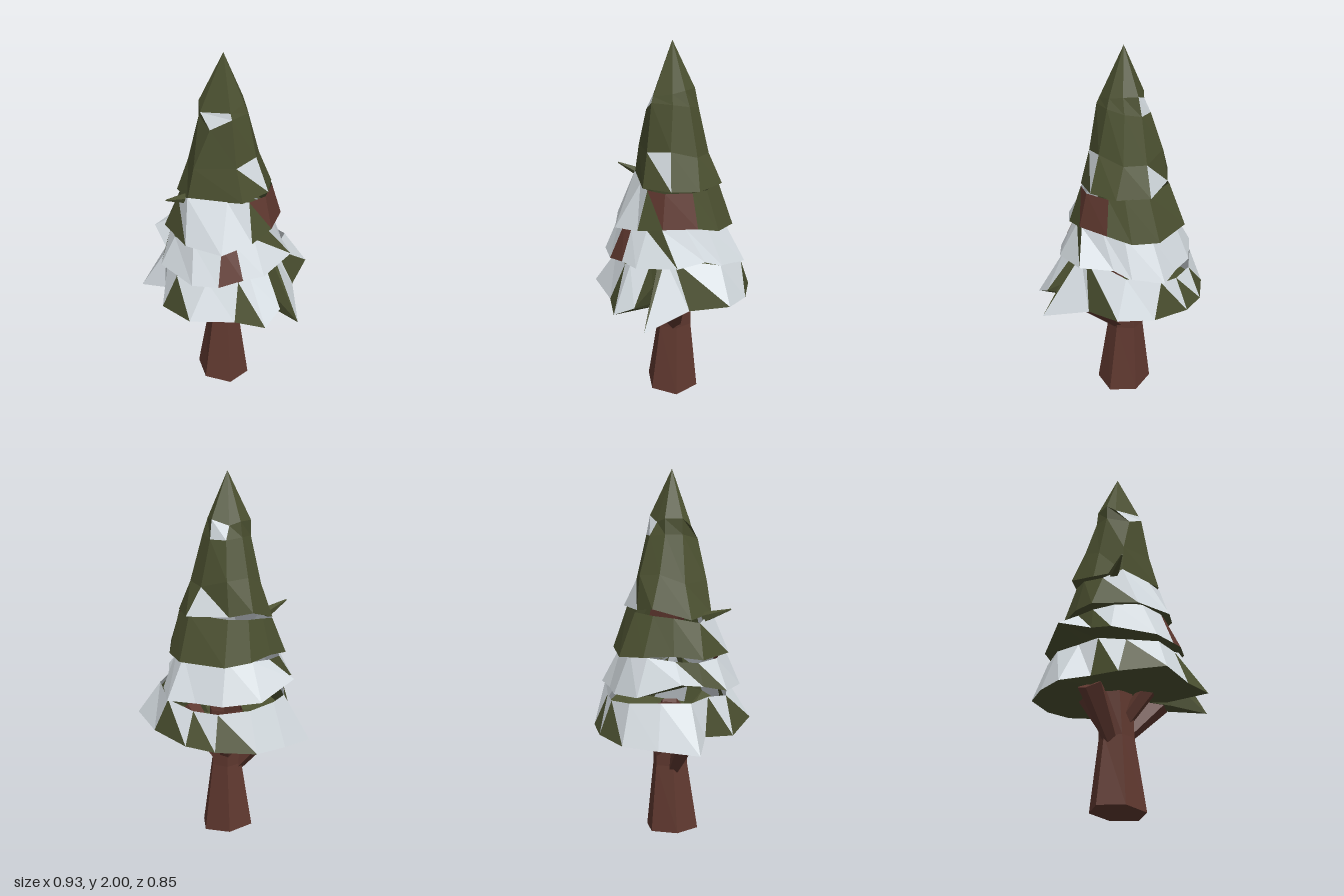
import * as THREE from 'three';

const mat = (name, color) => {
  const m = new THREE.MeshStandardMaterial({ color, side: THREE.DoubleSide });
  m.name = name;
  return m;
};

// Each ring lists [x, y, z] corners from the front round towards +x.
const scaleRing = (ring, s, y) => ring.map(p => [p[0] * s, y, p[2] * s]);

export function createModel() {
  const tree = new THREE.Group();
  tree.name = 'snowyPine';
  const materials = [mat('needleGreen', 0x4b5030), mat('snowWhite', 0xd4dbe0), mat('barkBrown', 0x5f382f)];
  const letters = 'gsb';

  // Faceted skin between rings; two colour letters per side (lower and upper triangle).
  function loft(name, rings, colours) {
    const buckets = [[], [], []];
    for (let k = 0; k < rings.length - 1; k++) {
      const top = rings[k], bot = rings[k + 1], n = top.length;
      const code = colours[k].replaceAll(' ', '');
      for (let i = 0; i < n; i++) {
        const j = (i + 1) % n;
        const pick = t => buckets[letters.indexOf(code.length === 1 ? code : code[2 * i + t])];
        pick(0).push(...top[i], ...bot[i], ...bot[j]);
        pick(1).push(...top[i], ...bot[j], ...top[j]);
      }
    }
    const geo = new THREE.BufferGeometry();
    let start = 0;
    buckets.forEach((b, m) => {
      if (b.length) geo.addGroup(start, b.length / 3, m);
      start += b.length / 3;
    });
    geo.setAttribute('position', new THREE.Float32BufferAttribute(buckets.flat(), 3));
    geo.computeVertexNormals();
    const mesh = new THREE.Mesh(geo, materials);
    mesh.name = name;
    tree.add(mesh);
  }

  // One skirt of needles with its dark underside.
  function tier(name, upper, hem, colours, underY) {
    loft(name, [upper, hem, scaleRing(hem, 0.6, underY), scaleRing(hem, 0, underY + 0.03)], [colours, 'g', 'g']);
  }

  // Crown: tip, shoulder, ledge and the upper needles
  const crownLow = [[-.15, 1.26, .18], [.14, 1.27, .18], [.25, 1.28, .05], [.24, 1.27, -.1],
    [.13, 1.27, -.24], [-.1, 1.28, -.21], [-.21, 1.3, -.15], [-.24, 1.24, .05]];
  const crownMid = [[-.12, 1.43, .16], [.1, 1.45, .15], [.18, 1.47, .04], [.17, 1.43, -.1],
    [.07, 1.42, -.18], [-.08, 1.46, -.19], [-.16, 1.47, -.1], [-.18, 1.42, .03]];
  const crownNeck = [[-.04, 1.64, .13], [.07, 1.7, .12], [.13, 1.7, .02], [.11, 1.68, -.07],
    [.04, 1.66, -.13], [-.05, 1.66, -.13], [-.11, 1.67, -.06], [-.12, 1.67, .03]];
  const crownEdge = [[-.1, 1.71, .08], [.06, 1.73, .11], [.11, 1.75, .02], [.09, 1.76, -.05],
    [.04, 1.76, -.11], [-.05, 1.73, -.09], [-.1, 1.75, -.06], [-.12, 1.75, .03]];
  const tip = crownEdge.map(() => [0, 2, 0]);
  loft('crown', [tip, crownEdge, crownNeck, crownMid, crownLow, scaleRing(crownLow, 0, 1.3)],
    ['g', 'ss gg gg gg ss gg gg gg', 'g', 'gg gs gg gg sg gg gg gg', 'g']);

  // Upper skirt
  tier('upperSkirt',
    [[-.15, 1.27, .18], [.06, 1.27, .18], [.17, 1.27, .16], [.24, 1.27, .08], [.25, 1.27, -.06], [.22, 1.27, -.14],
      [.12, 1.28, -.22], [-.1, 1.27, -.22], [-.18, 1.26, -.14], [-.22, 1.25, -.04], [-.22, 1.22, .1]],
    [[-.14, 1.04, .28], [.06, 1.03, .32], [.2, 1.06, .22], [.28, 1.09, .1], [.3, 1.09, -.08], [.25, 1.05, -.2],
      [.14, 1.04, -.3], [-.12, 1.04, -.31], [-.22, 1.05, -.2], [-.27, 1.06, -.05], [-.3, 1.04, .1]],
    'ss ss gb bb gg gg gg gg gg gg gs', 1.06);

  // Middle skirt
  tier('middleSkirt',
    [[-.1, 1.05, .27], [.05, 1.04, .27], [.12, 1.04, .24], [.2, 1.06, .17], [.26, 1.08, .1], [.25, 1.08, -.02],
      [.23, 1.07, -.14], [.14, 1.06, -.25], [.03, 1.06, -.25], [-.1, 1.06, -.25], [-.22, 1.05, -.18],
      [-.26, 1.03, -.04], [-.27, 1.02, .08], [-.22, 1.03, .19]],
    [[-.09, .85, .36], [.05, .85, .35], [.17, .88, .3], [.27, .88, .24], [.38, .91, .04], [.3, .9, -.12],
      [.28, .86, -.22], [.185, .84, -.36], [.03, .84, -.34], [-.12, .84, -.34], [-.3, .86, -.25],
      [-.4, .94, -.04], [-.3, .9, .1], [-.29, .87, .23]],
    'ss bb ss sg ss ss ss ss ss ss ss sg gs ss', .88);

  // Lower skirt with pointed branch ends
  tier('lowerSkirt',
    [[-.02, .85, .31], [.14, .85, .28], [.2, .87, .26], [.26, .9, .16], [.28, .93, .12], [.29, .93, .09],
      [.3, .93, .05], [.31, .88, -.2], [.19, .84, -.34], [.04, .8, -.35], [-.1, .8, -.35], [-.25, .82, -.28],
      [-.32, .83, -.13], [-.32, .82, .03], [-.28, .84, .13], [-.2, .82, .25]],
    [[-.09, .66, .42], [.14, .65, .365], [.305, .64, .365], [.365, .7, .265], [.26, .76, .15], [.46, .6, .23],
      [.39, .67, -.02], [.435, .7, -.225], [.27, .66, -.35], [.05, .63, -.425], [-.115, .62, -.42],
      [-.31, .61, -.33], [-.4, .6, -.16], [-.465, .58, .045], [-.31, .63, .11], [-.28, .62, .27]],
    'ss gs ss gg gg ss gs ss gs gs gs ss ss ss gs gs', .62);

  // Trunk: six-sided, flared at the foot
  const trunkRing = (y, rx, rz, cz, tilt = 0) => Array.from({ length: 6 }, (_, i) => {
    const a = i * Math.PI / 3 + 0.5, x = Math.sin(a) * rx;
    return [x, y - x * tilt, cz + Math.cos(a) * rz];
  });
  const foot = trunkRing(.017, .15, .15, 0, .1);
  loft('trunk', [trunkRing(.72, .1, .09, -.02), trunkRing(.4, .09, .1, -.01), foot, scaleRing(foot, 0, .017)],
    ['b', 'b', 'b']);

  // Tapered limb between two points
  function limb(name, a, b, r0, r1, material) {
    const from = new THREE.Vector3(...a), to = new THREE.Vector3(...b), dir = to.clone().sub(from);
    const geo = new THREE.CylinderGeometry(r1, r0, dir.length(), 5).toNonIndexed();
    geo.computeVertexNormals();
    const mesh = new THREE.Mesh(geo, material);
    mesh.name = name;
    mesh.position.copy(from).add(to).multiplyScalar(0.5);
    mesh.quaternion.setFromUnitVectors(new THREE.Vector3(0, 1, 0), dir.normalize());
    tree.add(mesh);
  }
  const [green, , bark] = materials;
  limb('branchRight', [-.05, .38, 0], [-.24, .63, .04], .04, .07, bark);
  limb('branchLeft', [.05, .42, 0], [.27, .66, .05], .04, .07, bark);
  limb('branchFront', [.02, .5, .04], [.08, .68, .17], .04, .05, bark);
  limb('branchBack', [-.02, .46, -.06], [-.08, .66, -.16], .04, .05, bark);
  limb('needleTwig', [-.17, 1.24, .13], [-.24, 1.29, .26], .03, .004, green);

  return tree;
}
